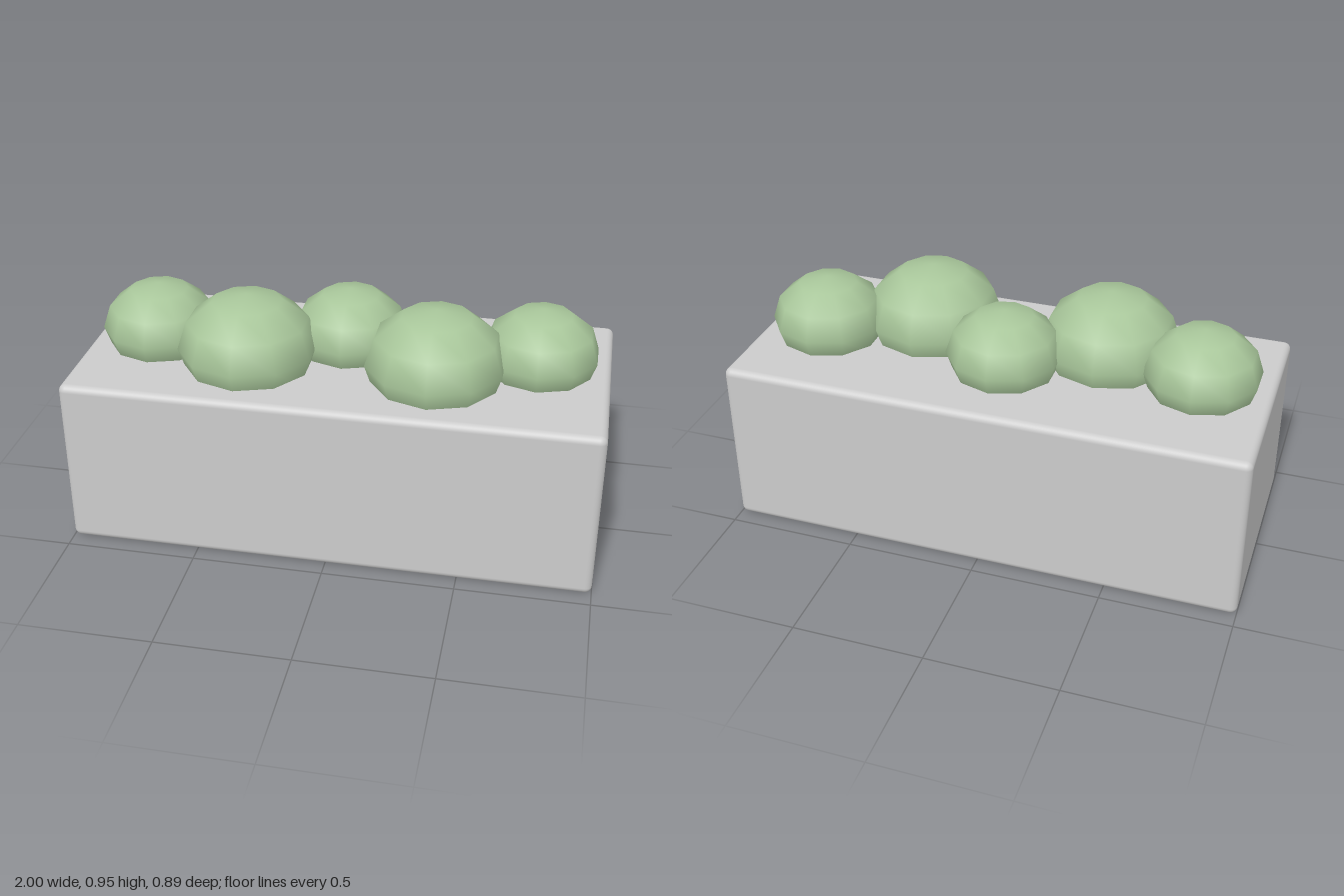
import * as THREE from 'three';
import { RoundedBoxGeometry } from 'three/addons/geometries/RoundedBoxGeometry.js';

export function createModel() {
  const model = new THREE.Group();
  model.name = 'planter';

  const stone = new THREE.MeshStandardMaterial({ color: 0xcccccc });
  const leaf = new THREE.MeshStandardMaterial({ color: 0xa8c69a });

  // Planter box with softly rounded edges, standing on the ground
  const height = 0.667;
  const box = new THREE.Mesh(new RoundedBoxGeometry(2, height, 0.889, 4, 0.027), stone);
  box.name = 'planterBox';
  box.position.y = height / 2;
  model.add(box);

  // Row of flattened shrubs, sunk into the top: [x, z, radius]
  const shrubs = [
    [-0.733, 0, 0.222],
    [-0.356, 0.111, 0.267],
    [0, -0.089, 0.222],
    [0.356, 0.111, 0.267],
    [0.733, -0.044, 0.222],
  ];
  // Ten-sided ball, turned so that corners point to the front and back
  const ball = new THREE.SphereGeometry(1, 10, 6).rotateY(Math.PI / 2);
  shrubs.forEach(([x, z, r], i) => {
    const shrub = new THREE.Mesh(ball, leaf);
    shrub.name = `shrub${i + 1}`;
    shrub.position.set(x, 0.733, z);
    shrub.scale.set(r, r * 0.8, r);
    model.add(shrub);
  });

  return model;
}
